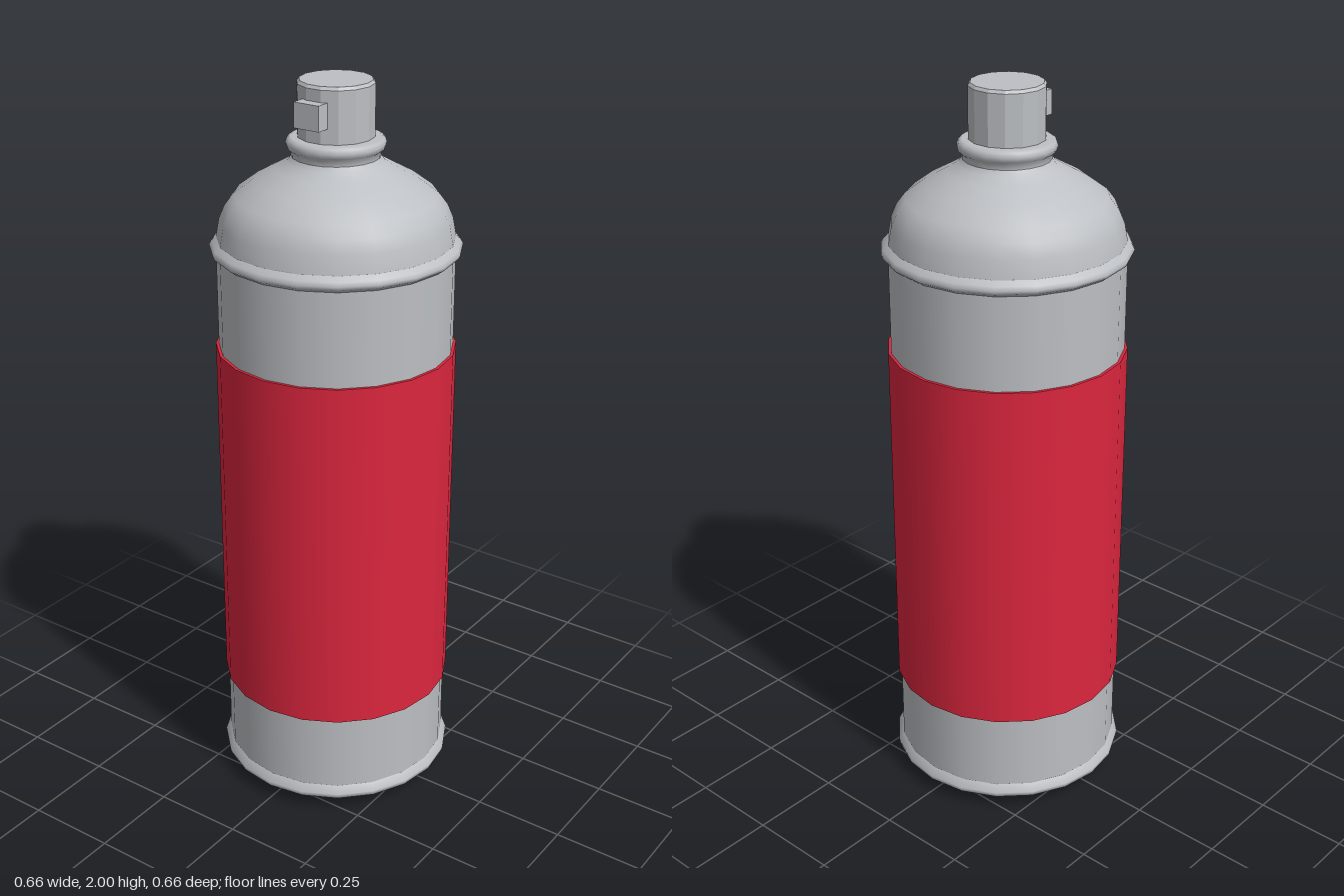
import * as THREE from 'three';

const metal = new THREE.MeshStandardMaterial({ color: 0xbcbfc3 });
metal.name = 'grey metal';
const plastic = new THREE.MeshStandardMaterial({ color: 0xbcbfc3, flatShading: true });
plastic.name = 'grey plastic';
const red = new THREE.MeshStandardMaterial({ color: 0xdc263e });
red.name = 'red label';

export function createModel() {
  const can = new THREE.Group();
  can.name = 'sprayCan';

  const add = (name, geometry, material, y = 0, z = 0) => {
    const mesh = new THREE.Mesh(geometry, material);
    mesh.name = name;
    mesh.position.set(0, y, z);
    can.add(mesh);
    return mesh;
  };
  // Turned part; profile runs from bottom to top as [radius, height]
  const turn = (name, profile, material) =>
    add(name, new THREE.LatheGeometry(profile.map(([r, y]) => new THREE.Vector2(r, y)), 20), material);

  // Flat underside, chamfer and rolled bottom rim
  turn('underside', [[0, 0], [0.255, 0]], metal);
  turn('bottomRim', [[0.255, 0], [0.305, 0.025], [0.325, 0.042], [0.327, 0.055], [0.312, 0.075]], metal);

  // Straight wall and the label wrapped round it
  turn('wall', [[0.312, 0.075], [0.312, 1.55]], metal);
  turn('labelBottomEdge', [[0.31, 0.295], [0.32, 0.295]], red);
  turn('label', [[0.32, 0.295], [0.32, 1.295]], red);
  turn('labelTopEdge', [[0.32, 1.295], [0.31, 1.295]], red);

  // Rolled shoulder seam and domed top
  turn('shoulderSeam', [[0.312, 1.55], [0.326, 1.56], [0.33, 1.57], [0.324, 1.58], [0.311, 1.592]], metal);
  turn('dome', [
    [0.311, 1.592], [0.302, 1.64], [0.287, 1.675], [0.264, 1.705],
    [0.21, 1.745], [0.155, 1.775], [0.125, 1.792], [0.115, 1.806],
  ], metal);

  // Valve neck with its rounded lip
  turn('neck', [
    [0.115, 1.806], [0.116, 1.82], [0.126, 1.828], [0.129, 1.84],
    [0.125, 1.851], [0.115, 1.857], [0, 1.857],
  ], metal);

  // Push button with a small bevel, and the spray nozzle at the front
  add('button', new THREE.CylinderGeometry(0.1, 0.1, 0.14, 14), plastic, 1.922);
  add('buttonBevel', new THREE.CylinderGeometry(0.094, 0.1, 0.008, 14), plastic, 1.996);
  add('nozzle', new THREE.BoxGeometry(0.075, 0.065, 0.05), plastic, 1.929, 0.103);

  // Turn a flat side of the button to the nozzle
  for (const part of can.children) {
    if (part.name.startsWith('button')) part.rotation.y = Math.PI / 14;
  }
  return can;
}
